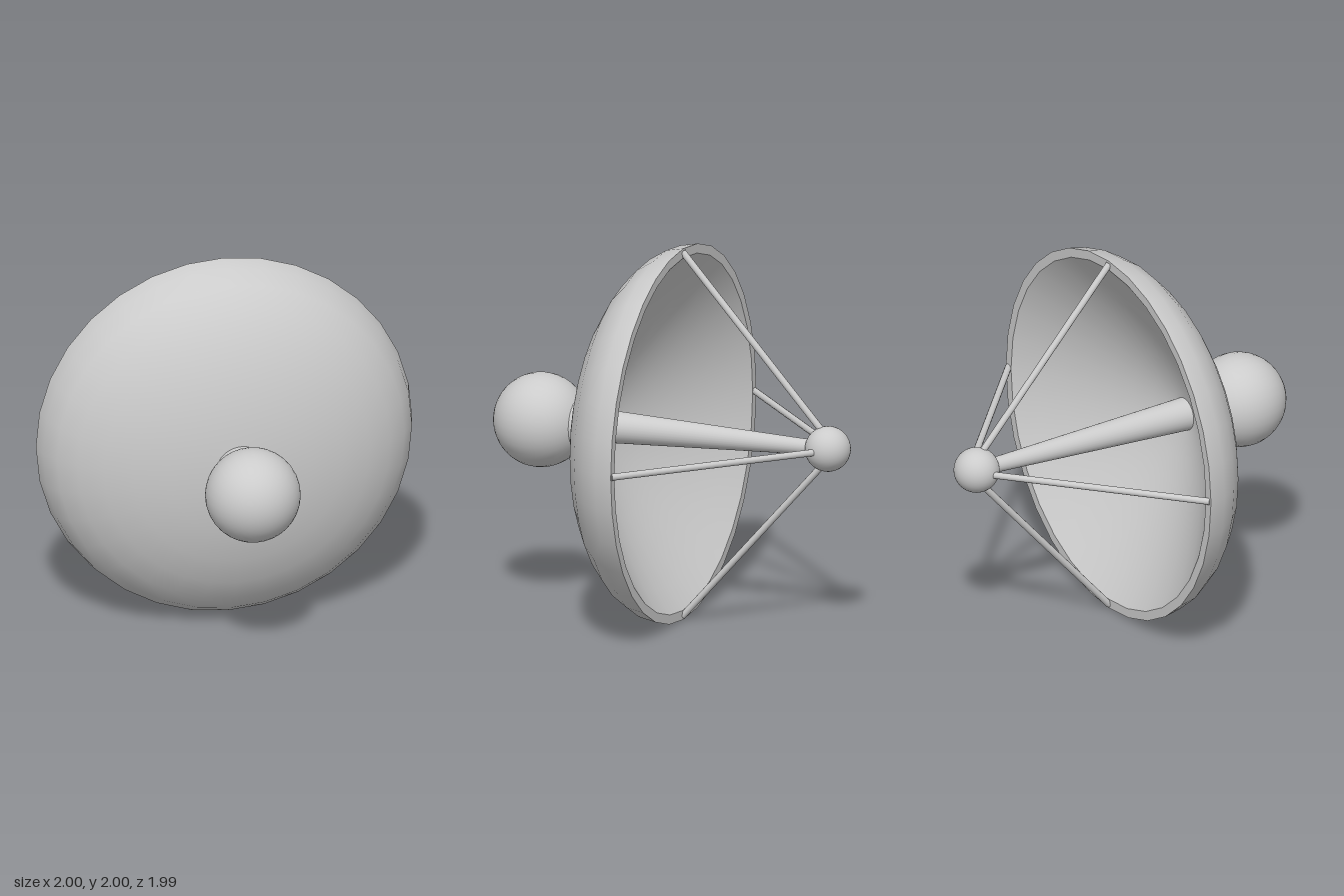
import * as THREE from 'three';

const MID = 1, RIM_Z = -0.06;

export function createModel() {
  const model = new THREE.Group();
  const mat = new THREE.MeshStandardMaterial({ color: 0xcccccc });

  const add = (name, geo, parent = model) => {
    const mesh = new THREE.Mesh(geo, mat);
    mesh.name = name;
    parent.add(mesh);
    return mesh;
  };

  // Round bar between two points, r0 at the start and r1 at the end
  const bar = (name, a, b, r0, r1, sides) => {
    const dir = b.clone().sub(a);
    const mesh = add(name, new THREE.CylinderGeometry(r1, r0, dir.length(), sides));
    mesh.position.copy(a).add(b).multiplyScalar(0.5);
    mesh.quaternion.setFromUnitVectors(new THREE.Vector3(0, 1, 0), dir.normalize());
  };

  const ball = (name, r, z) => {
    const mesh = add(name, new THREE.SphereGeometry(r, 32, 24));
    mesh.rotation.x = Math.PI / 2;
    mesh.position.set(0, MID, z);
  };

  // Dish profiles: elliptical outside from rim to apex, shallower bowl inside from apex to rim
  const outer = [], inner = [];
  for (let i = 0; i <= 8; i++) {
    const t = (i / 8) * Math.PI / 2;
    outer.push(new THREE.Vector2(i === 8 ? 0 : Math.cos(t), 0.497 * Math.sin(t)));
    inner.push(new THREE.Vector2(0.95 * i / 8, 0.487 * (1 - (i / 8) ** 1.5)));
  }

  // Dish: outer shell, inner shell and flat rim, turned towards +z
  const dish = new THREE.Group();
  dish.name = 'dish';
  dish.position.set(0, MID, RIM_Z);
  dish.rotation.x = Math.PI / 2;
  model.add(dish);
  add('dishOuter', new THREE.LatheGeometry(outer, 32), dish);
  add('dishInner', new THREE.LatheGeometry(inner, 32), dish);
  add('dishRim', new THREE.LatheGeometry([inner[8], outer[0]], 32), dish);

  // Mount on the convex side
  bar('mountNeck', new THREE.Vector3(0, MID, 0.42), new THREE.Vector3(0, MID, 0.7), 0.136, 0.136, 32);
  ball('mountBall', 0.25, 0.744);

  // Tapered feed arm and receiver on the hollow side
  bar('feedArm', new THREE.Vector3(0, MID, 0.43), new THREE.Vector3(0, MID, -0.85), 0.089, 0.037, 32);
  ball('receiver', 0.12, -0.875);

  // Four struts from the rim to the receiver
  for (let i = 0; i < 4; i++) {
    const c = Math.round(Math.cos(i * Math.PI / 2)), s = Math.round(Math.sin(i * Math.PI / 2));
    const at = (r, z) => new THREE.Vector3(c * r, MID + s * r, z);
    bar('strut', at(0.982, -0.055), at(0.085, -0.85), 0.018, 0.018, 12);
  }

  return model;
}
